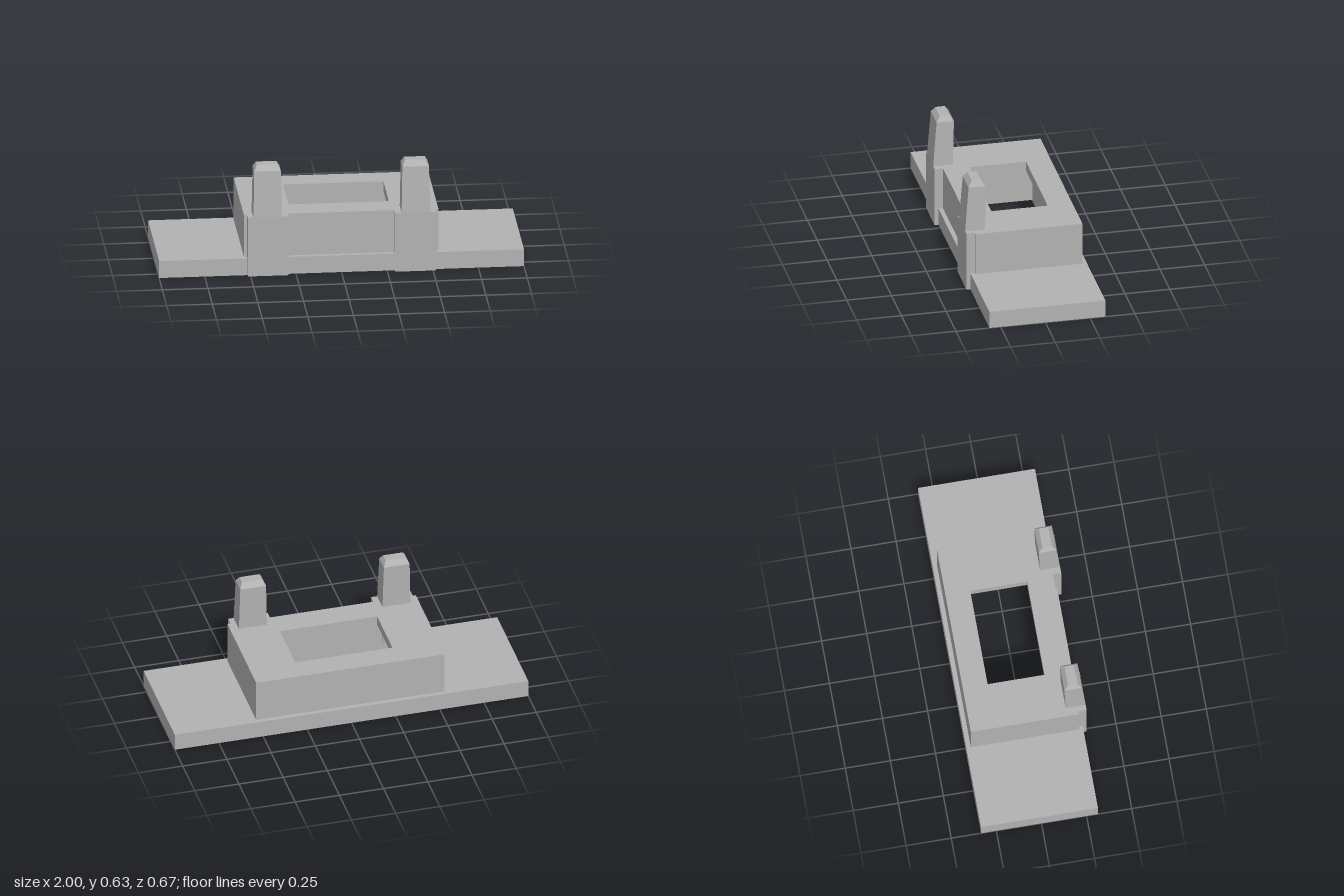
import * as THREE from 'three';

const grey = new THREE.MeshStandardMaterial({ color: 0xb2b2b2 });
grey.name = 'grey plastic';

function add(parent, name, geometry) {
  const mesh = new THREE.Mesh(geometry, grey);
  mesh.name = name;
  parent.add(mesh);
  return mesh;
}

// Horizontal slab between y0 and y1 with a rectangular opening; rects are [x0, x1, z0, z1]
function frame([x0, x1, z0, z1], [hx0, hx1, hz0, hz1], y0, y1) {
  const points = (a, b, c, d) => [[a, -d], [b, -d], [b, -c], [a, -c]].map(p => new THREE.Vector2(...p));
  const shape = new THREE.Shape(points(x0, x1, z0, z1));
  shape.holes.push(new THREE.Path(points(hx0, hx1, hz0, hz1)));
  return new THREE.ExtrudeGeometry(shape, { depth: y1 - y0, bevelEnabled: false })
    .rotateX(-Math.PI / 2)
    .translate(0, y0, 0);
}

// Box whose bottom and top rectangles differ, for tapers and chamfers
function taper(bottom, top, y0, y1) {
  const geometry = new THREE.BoxGeometry(1, 1, 1);
  const p = geometry.attributes.position;
  for (let i = 0; i < p.count; i++) {
    const up = p.getY(i) > 0;
    const r = up ? top : bottom;
    p.setXYZ(i, p.getX(i) < 0 ? r[0] : r[1], up ? y1 : y0, p.getZ(i) < 0 ? r[2] : r[3]);
  }
  geometry.computeVertexNormals();
  return geometry;
}

export function createModel() {
  const model = new THREE.Group();
  model.name = 'mountingBracket';

  const cavity = [-0.478, 0.478, -0.252, 0.233];
  const housing = [-0.533, 0.533, -0.31, 0.288];

  // Flange plate and hollow housing, open underneath
  add(model, 'basePlate', frame([-1, 1, -0.335, 0.313], cavity, 0, 0.098));
  add(model, 'housingWalls', frame(housing, cavity, 0.098, 0.286));
  add(model, 'housingTop', frame(housing, [-0.275, 0.275, -0.172, 0.143], 0.286, 0.341));

  // Two clips on the front edge
  for (const side of [1, -1]) {
    const clip = new THREE.Group();
    clip.name = side > 0 ? 'leftClip' : 'rightClip';
    model.add(clip);
    const rect = (a, b, z0, z1) => (side > 0 ? [a, b, z0, z1] : [-b, -a, z0, z1]);
    const block = (a, b, z0, z1, y0, y1) => taper(rect(a, b, z0, z1), rect(a, b, z0, z1), y0, y1);

    add(clip, 'clipLeg', block(0.292, 0.516, 0.313, 0.335, 0, 0.341));
    add(clip, 'clipLegBack', block(0.292, 0.516, 0.285, 0.313, 0.098, 0.341));
    add(clip, 'postRoot', block(0.327, 0.485, 0.224, 0.286, 0.098, 0.339));

    const foot = rect(0.327, 0.485, 0.224, 0.335);
    const shoulder = rect(0.333, 0.479, 0.218, 0.315);
    const tip = rect(0.35, 0.463, 0.241, 0.293);
    add(clip, 'post', taper(foot, shoulder, 0.341, 0.602));
    add(clip, 'postTip', taper(shoulder, tip, 0.602, 0.633));
  }
  return model;
}
